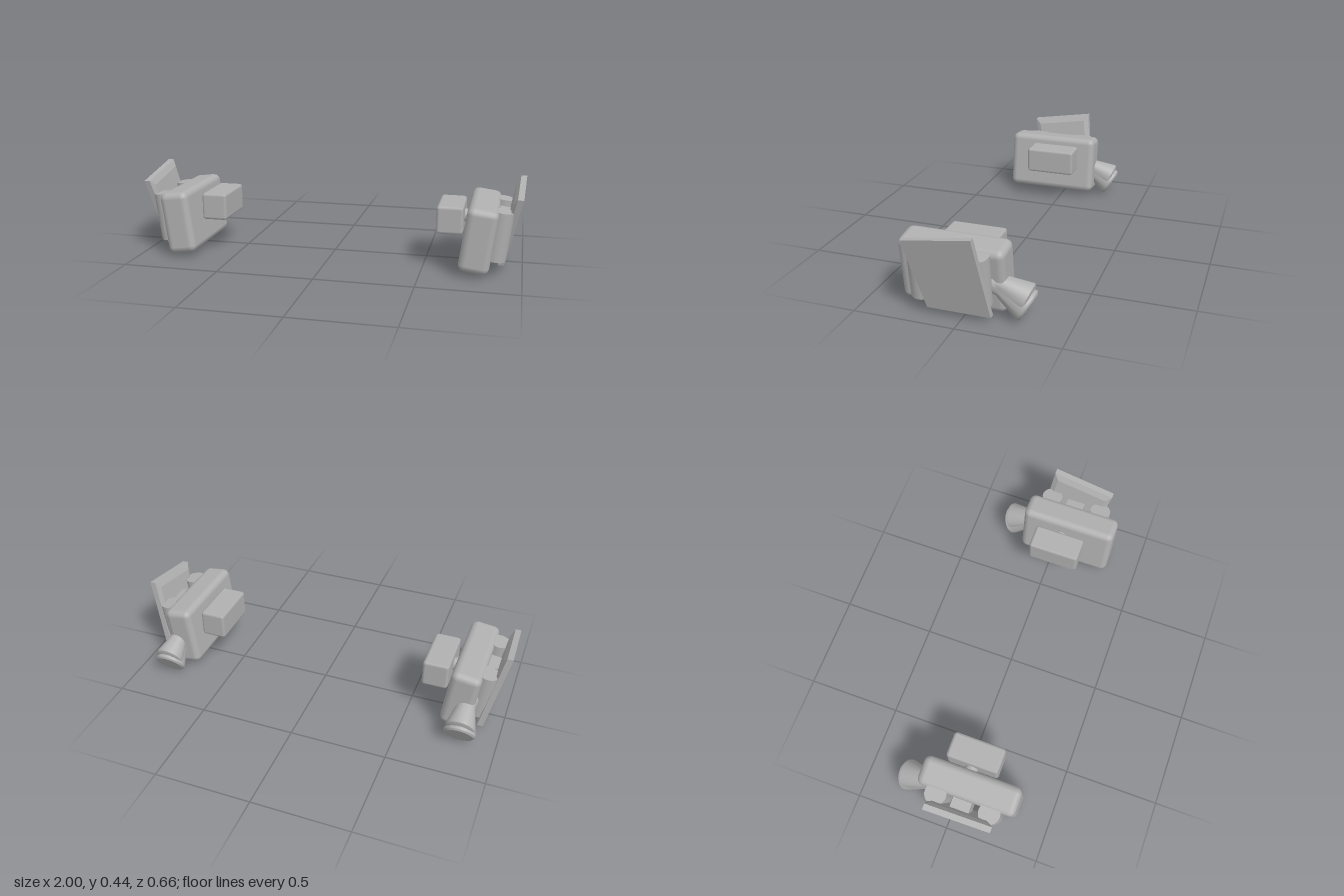
import * as THREE from 'three';
import { RoundedBoxGeometry } from 'three/addons/geometries/RoundedBoxGeometry.js';
import { toCreasedNormals } from 'three/addons/utils/BufferGeometryUtils.js';

const TILT = -0.13;

// Slanted four-sided armour plate: loops run from the outer face to the bevelled inner face.
function plateGeometry(side) {
  const corners = [[0.17, 0.035], [-0.14, 0.035], [-0.09, 0.448], [0.25, 0.395]]; // z, y
  const loops = [[1, 0], [1, 0.03], [0.84, 0.042]]; // scale, inward offset
  const cz = 0.05, cy = 0.23, pos = [], idx = [];
  for (const [k, off] of loops) {
    for (const [z, y] of corners) {
      const yy = cy + (y - cy) * k;
      pos.push(side * (1 - (0.448 - yy) * 0.22 - off), yy, cz + (z - cz) * k);
    }
  }
  const quad = (a, b, c, d) => (side > 0 ? idx.push(a, b, c, a, c, d) : idx.push(a, c, b, a, d, c));
  quad(0, 1, 2, 3);
  for (let l = 0; l < loops.length - 1; l++) {
    for (let i = 0; i < 4; i++) {
      const j = (i + 1) % 4, a = l * 4, b = a + 4;
      quad(a + i, b + i, b + j, a + j);
    }
  }
  const e = (loops.length - 1) * 4;
  quad(e + 3, e + 2, e + 1, e);
  const g = new THREE.BufferGeometry();
  g.setAttribute('position', new THREE.Float32BufferAttribute(pos, 3));
  g.setIndex(idx);
  const flat = g.toNonIndexed();
  flat.computeVertexNormals();
  return flat;
}

// Lathe whose profile is [radius, distance along the axis].
function turned(profile) {
  const pts = profile.map(([r, t]) => new THREE.Vector2(r, t));
  return toCreasedNormals(new THREE.LatheGeometry(pts, 32), 0.5);
}

export function createModel() {
  const model = new THREE.Group();
  model.name = 'thrusterPair';
  const grey = new THREE.MeshStandardMaterial({ color: 0xb0b0b0 });
  grey.name = 'grey';

  const bodyGeo = new RoundedBoxGeometry(0.153, 0.328, 0.52, 2, 0.035);
  const mountGeo = new RoundedBoxGeometry(0.137, 0.145, 0.28, 1, 0.016);
  const linkGeo = new THREE.CylinderGeometry(0.035, 0.035, 0.06, 20);
  const cylinderGeo = new THREE.CylinderGeometry(0.056, 0.056, 0.252, 28);
  const bracketGeo = new THREE.BoxGeometry(0.1, 0.15, 0.1);
  const nozzleGeo = turned([[0, -0.07], [0.06, -0.07], [0.047, 0], [0.081, 0.133], [0.081, 0.142], [0.072, 0.15], [0, 0.15]]);
  const shroudGeo = turned([[0, -0.03], [0.05, -0.03], [0.047, 0], [0.075, 0.12], [0.073, 0.13], [0.06, 0.137], [0, 0.137]]);

  for (const side of [1, -1]) {
    const unit = new THREE.Group();
    unit.name = side > 0 ? 'leftThruster' : 'rightThruster';
    model.add(unit);

    const add = (name, geo, x, y, z, roll = 0) => {
      const mesh = new THREE.Mesh(geo, grey);
      mesh.name = name;
      mesh.position.set(side * x, y, z);
      mesh.rotation.z = side * roll;
      unit.add(mesh);
      return mesh;
    };

    // Leaning main body with the inner mounting block
    add('body', bodyGeo, 0.781, 0.19, 0.07, TILT);
    add('mountBlock', mountGeo, 0.629, 0.253, 0.04);
    add('mountLink', linkGeo, 0.705, 0.253, 0.04, Math.PI / 2);

    // Outer pair of upright cylinders and the bracket between them
    for (const z of [0.209, -0.075]) add('sideCylinder', cylinderGeo, 0.877, 0.203, z, TILT);
    add('plateBracket', bracketGeo, 0.88, 0.23, 0.06, TILT);

    // Outer armour plate
    add('armourPlate', plateGeometry(side), 0, 0, 0);

    // Rear nozzle pointing back and down, with a shroud along its top
    add('nozzle', nozzleGeo, 0.815, 0.148, -0.16).rotation.x = -Math.PI / 2 - 0.545;
    add('nozzleShroud', shroudGeo, 0.815, 0.16, -0.165).rotation.x = -Math.PI / 2 - 0.39;
  }
  return model;
}
